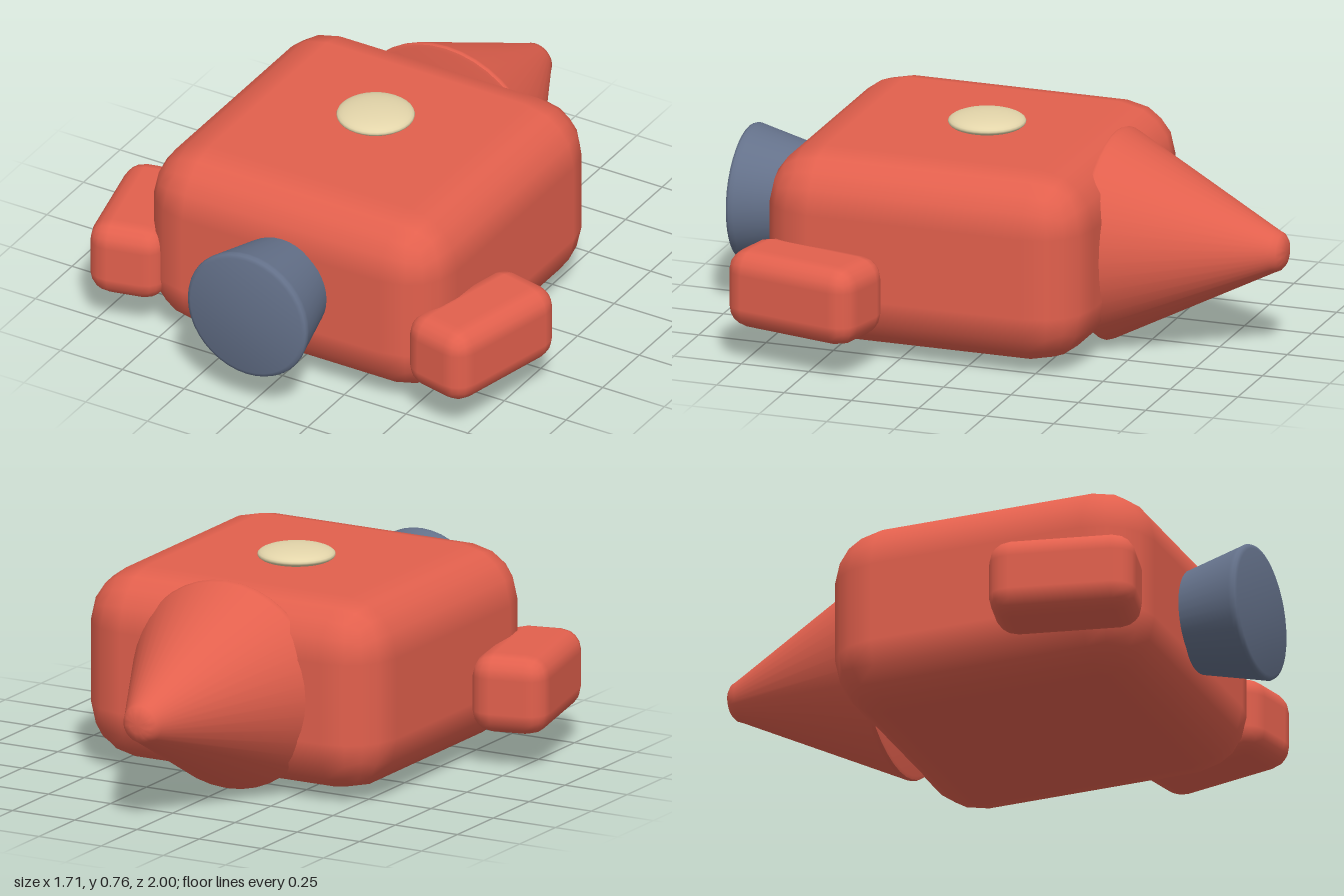
import * as THREE from 'three';
import { RoundedBoxGeometry } from 'three/addons/geometries/RoundedBoxGeometry.js';
import { toCreasedNormals } from 'three/addons/utils/BufferGeometryUtils.js';

const material = (name, color) => {
  const m = new THREE.MeshStandardMaterial({ color });
  m.name = name;
  return m;
};

// Closed turned solid; the profile is [radius, distance along axis]
function turned(profile, segments = 32) {
  const points = profile.map(([r, h]) => new THREE.Vector2(r, h));
  return toCreasedNormals(new THREE.LatheGeometry(points, segments), 0.9);
}

export function createModel() {
  const model = new THREE.Group();
  const red = material('red', 0xe2604d);
  const slate = material('slate', 0x64718a);
  const cream = material('cream', 0xe3d5aa);

  const add = (name, geometry, mat, x, y, z) => {
    const mesh = new THREE.Mesh(geometry, mat);
    mesh.name = name;
    mesh.position.set(x, y, z);
    model.add(mesh);
    return mesh;
  };

  // Chunky rounded body
  add('body', new RoundedBoxGeometry(1.2, 0.69, 1.19, 2, 0.2), red, 0, 0.375, 0.167);

  // Rear cone with a blunt tip, pointing to -z
  const cone = turned([
    [0, 0.36], [0.36, 0.36], [0.372, 0.363], [0.375, 0.372], [0.37, 0.385],
    [0.076, 0.958], [0.066, 0.98], [0.05, 0.993], [0.03, 1], [0, 1],
  ], 40);
  cone.rotateX(-Math.PI / 2);
  add('tailCone', cone, red, 0, 0.378, 0);

  // Flared nozzle, pointing to +z
  const nozzle = turned([
    [0, 0.6], [0.145, 0.6], [0.238, 0.97], [0.242, 0.985], [0.238, 0.995], [0.225, 1], [0, 1],
  ], 40);
  nozzle.rotateX(Math.PI / 2);
  add('nozzle', nozzle, slate, 0, 0.378, 0);

  // Angled side pods
  for (const side of [1, -1]) {
    const pod = add(side > 0 ? 'leftPod' : 'rightPod',
      new RoundedBoxGeometry(0.28, 0.285, 0.52, 2, 0.08), red, side * 0.68, 0.271, 0.54);
    pod.rotation.y = -side * 0.225;
  }

  // Flattened button on the roof
  const button = new THREE.SphereGeometry(0.137, 32, 16);
  button.scale(1, 0.235, 1);
  add('roofButton', button, cream, 0, 0.735, 0.113);

  return model;
}
